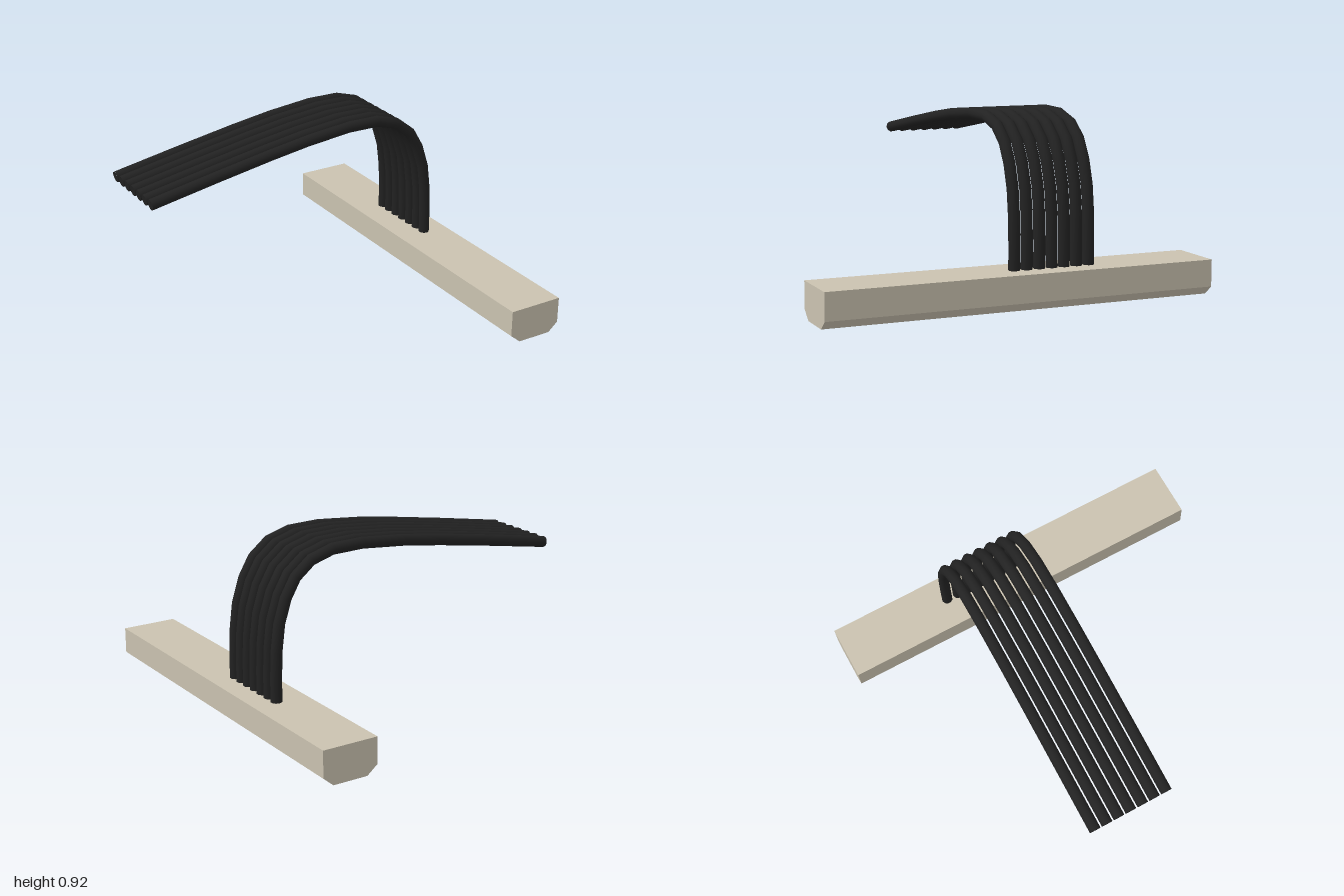
import * as THREE from 'three';

const beige = new THREE.MeshStandardMaterial({ color: 0xcac2b0 });
beige.name = 'beige plastic';
const black = new THREE.MeshStandardMaterial({ color: 0x222222 });
black.name = 'black cable';

const RADIUS = 0.029, SIDES = 10, COUNT = 7, PITCH = 0.0657;

// Cable path in the xy plane, from inside the connector to the free end
function cablePath() {
  const points = [
    [0.75, 0.15], [0.75, 0.29], [0.745, 0.43], [0.728, 0.565], [0.69, 0.685], [0.635, 0.78],
    [0.548, 0.85], [0.43, 0.885], [0.26, 0.888], [0.02, 0.865], [-0.2, 0.833], [-0.5, 0.783], [-0.875, 0.717],
  ].map(([x, y]) => new THREE.Vector3(x, y, 0));
  const curve = new THREE.CatmullRomCurve3(points);
  // Place the rings exactly on the points
  curve.getPointAt = (t, target) => curve.getPoint(t, target);
  curve.getTangentAt = (t, target) => curve.getTangent(t, target);
  return curve;
}

export function createModel() {
  const model = new THREE.Group();
  model.name = 'ribbonCableConnector';

  // Connector bar with bevelled lower edges
  const profile = new THREE.Shape([
    [0.645, 0], [0.827, 0], [0.88, 0.045], [0.88, 0.18], [0.59, 0.18], [0.59, 0.045],
  ].map(([x, y]) => new THREE.Vector2(x, y)));
  const barGeometry = new THREE.ExtrudeGeometry(profile, { depth: 2, bevelEnabled: false });
  barGeometry.translate(0, 0, -1);
  const bar = new THREE.Mesh(barGeometry, beige);
  bar.name = 'connectorBar';
  model.add(bar);

  // Row of parallel cables with closed free ends
  const path = cablePath();
  const tube = new THREE.TubeGeometry(path, path.points.length - 1, RADIUS, SIDES, false);
  const cap = new THREE.CircleGeometry(RADIUS, SIDES);
  const tip = path.getPoint(1);
  const direction = path.getTangent(1);
  for (let i = 0; i < COUNT; i++) {
    const cable = new THREE.Group();
    cable.name = `cable${i + 1}`;
    const wire = new THREE.Mesh(tube, black);
    wire.name = 'wire';
    const end = new THREE.Mesh(cap, black);
    end.name = 'wireEnd';
    end.position.copy(tip);
    end.quaternion.setFromUnitVectors(new THREE.Vector3(0, 0, 1), direction);
    cable.add(wire, end);
    cable.position.z = 0.012 - i * PITCH;
    model.add(cable);
  }
  return model;
}
